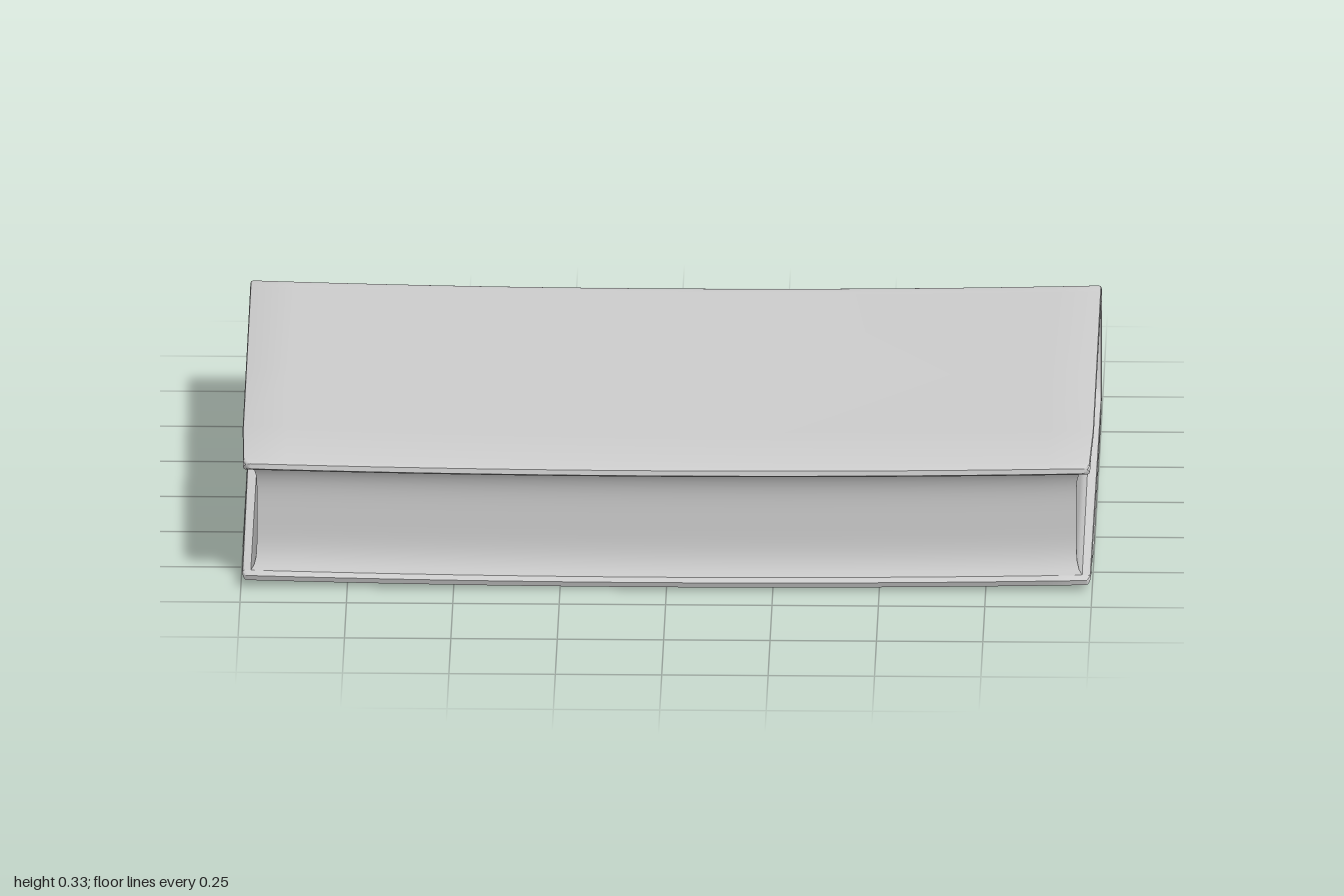
import * as THREE from 'three';
import { toCreasedNormals } from 'three/addons/utils/BufferGeometryUtils.js';

const material = new THREE.MeshStandardMaterial({ color: 0xcccccc });

// Move every vertex by a rule, then recompute smooth normals with sharp edges kept
function reshape(geometry, rule) {
  const pos = geometry.attributes.position;
  const v = new THREE.Vector3();
  for (let i = 0; i < pos.count; i++) {
    rule(v.fromBufferAttribute(pos, i));
    pos.setXYZ(i, v.x, v.y, v.z);
  }
  return toCreasedNormals(geometry, 0.6);
}

// Slight warp of the whole book: the ends lift and the spine hollows a little
function warp(v) {
  v.y += 0.012 * v.x * v.x;
  if (v.z < -0.55) v.z -= 0.006 * v.x * v.x;
}

const points = (list) => list.map(([a, b]) => new THREE.Vector2(a, b));

// Cover: one C-shaped section (first axis is -z) swept along x
function makeCover() {
  const bevel = 0.006;
  const shape = new THREE.Shape(points([
    [-0.645, 0.007], [-0.4, 0.002], [0, 0], [0.4, 0.002], [0.52, 0.005],
  ]));
  // outside of the rounded spine
  shape.splineThru(points([
    [0.58, 0.013], [0.625, 0.03], [0.647, 0.08], [0.655, 0.16],
    [0.645, 0.235], [0.625, 0.293], [0.6, 0.315], [0.55, 0.317],
  ]));
  // top board, its front lip and its underside
  for (const [a, b] of [
    [0, 0.31], [-0.4, 0.306], [-0.64, 0.306], [-0.655, 0.3],
    [-0.657, 0.288], [-0.64, 0.28], [0.57, 0.288],
  ]) shape.lineTo(a, b);
  // inside of the spine
  shape.splineThru(points([
    [0.598, 0.275], [0.618, 0.22], [0.626, 0.16], [0.618, 0.08], [0.6, 0.04], [0.57, 0.03],
  ]));
  shape.lineTo(-0.635, 0.028);
  shape.lineTo(-0.65, 0.02);

  const depth = 2 - 2 * bevel;
  const geometry = new THREE.ExtrudeGeometry(shape, {
    depth, steps: 20, curveSegments: 20,
    bevelEnabled: true, bevelSize: bevel, bevelOffset: -bevel,
    bevelThickness: bevel, bevelSegments: 2,
  });
  geometry.translate(0, 0, -depth / 2).rotateY(Math.PI / 2);
  return reshape(geometry, (v) => {
    // rounded front corners of the boards
    if (v.z > 0.62 && Math.abs(v.x) > 0.95) {
      v.x -= Math.sign(v.x) * 0.018 * ((v.z - 0.62) / 0.037) ** 2;
    }
    warp(v);
  });
}

// Page block: hollow fore edge, rounded back, ends flaring toward the boards
function makePages() {
  const geometry = new THREE.BoxGeometry(2, 2, 2, 20, 16, 12);
  return reshape(geometry, (v) => {
    const b = v.y;
    const front = 0.607 + 0.032 * b ** 4;
    const back = -0.635 + 0.04 * b ** 2;
    v.z = THREE.MathUtils.lerp(back, front, (v.z + 1) / 2);
    v.x *= 0.963 + 0.018 * b ** 8;
    v.y = 0.157 + 0.135 * b;
    warp(v);
  });
}

export function createModel() {
  const book = new THREE.Group();
  book.name = 'book';
  for (const [name, geometry] of [['cover', makeCover()], ['pageBlock', makePages()]]) {
    const mesh = new THREE.Mesh(geometry, material);
    mesh.name = name;
    book.add(mesh);
  }
  return book;
}
